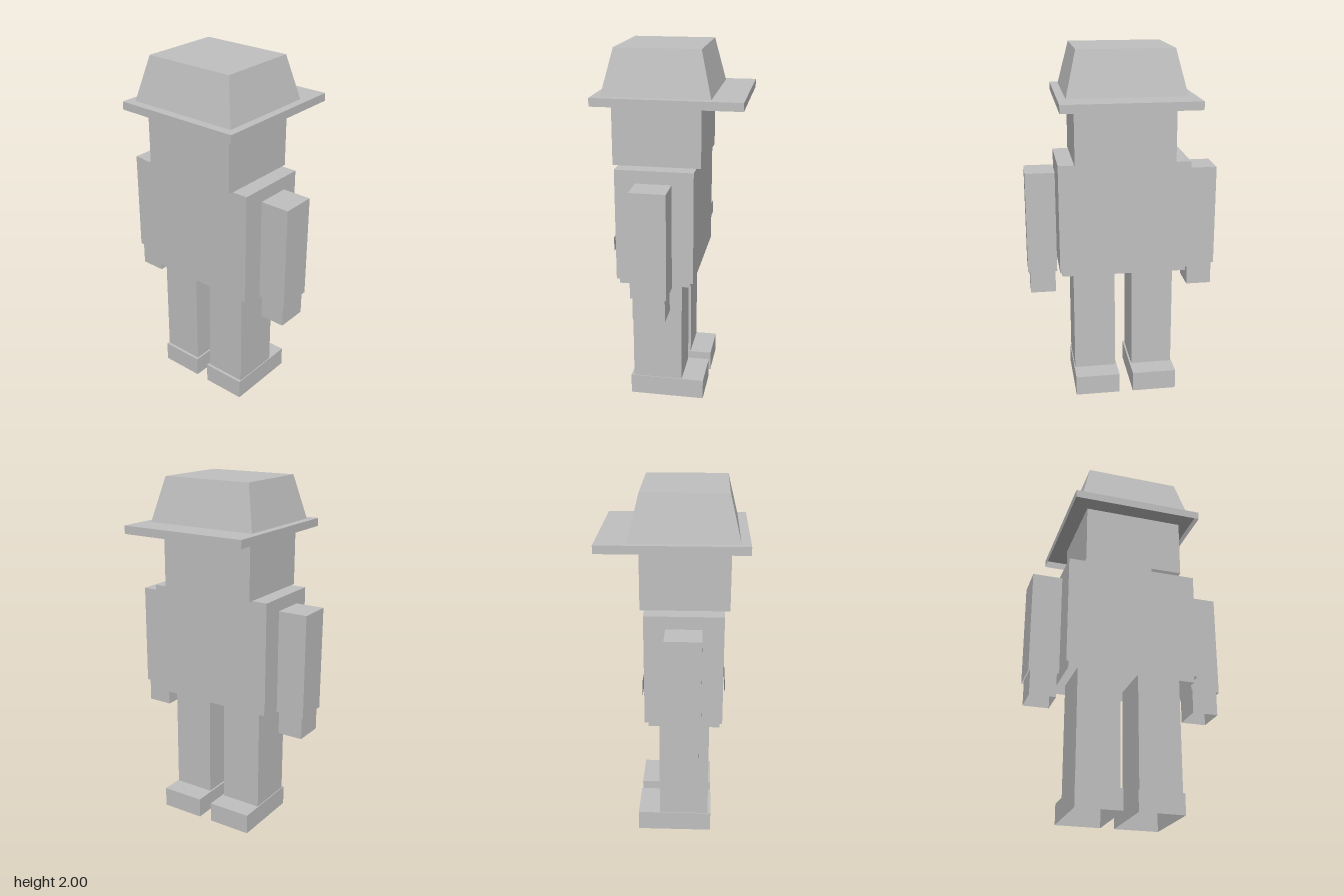
import * as THREE from 'three';

// Box without its underside, from [min, max] ranges on each axis; flare narrows the top
function openBox([x0, x1], [y0, y1], [z0, z1], inset = 0) {
  const w = x1 - x0, h = y1 - y0, d = z1 - z0;
  const geo = new THREE.BoxGeometry(w, h, d);
  const index = Array.from(geo.index.array);
  index.splice(18, 6); // drop the bottom face
  geo.setIndex(index);
  geo.clearGroups();
  if (inset) {
    const p = geo.attributes.position;
    for (let i = 0; i < p.count; i++) {
      if (p.getY(i) > 0) {
        p.setX(i, p.getX(i) * (1 - (2 * inset) / w));
        p.setZ(i, p.getZ(i) * (1 - (2 * inset) / d));
      }
    }
    geo.computeVertexNormals();
  }
  geo.translate((x0 + x1) / 2, (y0 + y1) / 2, (z0 + z1) / 2);
  return geo;
}

// Flat plate facing +z (dir 1) or -z (dir -1)
function plate(x, y, z, w, h, dir) {
  const geo = new THREE.PlaneGeometry(w, h);
  if (dir < 0) geo.rotateY(Math.PI);
  return geo.translate(x, y, z);
}

export function createModel() {
  const model = new THREE.Group();
  model.name = 'blockFigure';
  const grey = new THREE.MeshStandardMaterial({ color: 0xc0c0c0, side: THREE.DoubleSide });
  grey.name = 'plain grey';

  const add = (name, geo) => {
    const mesh = new THREE.Mesh(geo, grey);
    mesh.name = name;
    model.add(mesh);
  };

  // Hat
  add('hatCrown', openBox([-0.325, 0.325], [1.755, 2], [-0.23, 0.35], 0.06));
  add('hatBrim', openBox([-0.37, 0.37], [1.71, 1.755], [-0.4, 0.4]));

  // Head and body
  add('head', openBox([-0.28, 0.28], [1.38, 1.712], [-0.175, 0.305]));
  add('torso', openBox([-0.37, 0.37], [0.757, 1.38], [-0.15, 0.275]));
  add('hips', openBox([-0.355, 0.355], [0.727, 0.92], [-0.13, 0.26]));

  // Belt panels stand just off the torso
  add('beltPanelFront', plate(0, 0.96, 0.284, 0.74, 0.08, 1));
  add('beltPanelBack', plate(0, 0.96, -0.159, 0.74, 0.08, -1));

  // Mouth, on the -z side
  add('mouth', plate(0, 1.475, -0.183, 0.31, 0.06, -1));

  // Mirrored parts
  for (const [side, s] of [['left', 1], ['right', -1]]) {
    const span = (a, b) => (s > 0 ? [a, b] : [-b, -a]);
    add(side + 'Eye', plate(s * 0.13, 1.59, -0.183, 0.09, 0.09, -1));
    add(side + 'Arm', openBox(span(0.38, 0.547), [0.727, 1.313], [-0.035, 0.16]));
    add(side + 'Hand', openBox(span(0.39, 0.535), [0.595, 0.74], [-0.025, 0.15]));
    add(side + 'Leg', openBox(span(0.05, 0.29), [0.115, 0.76], [-0.075, 0.205]));
    add(side + 'Shoe', openBox(span(0.04, 0.295), [0, 0.115], [-0.2, 0.222]));
  }
  return model;
}
